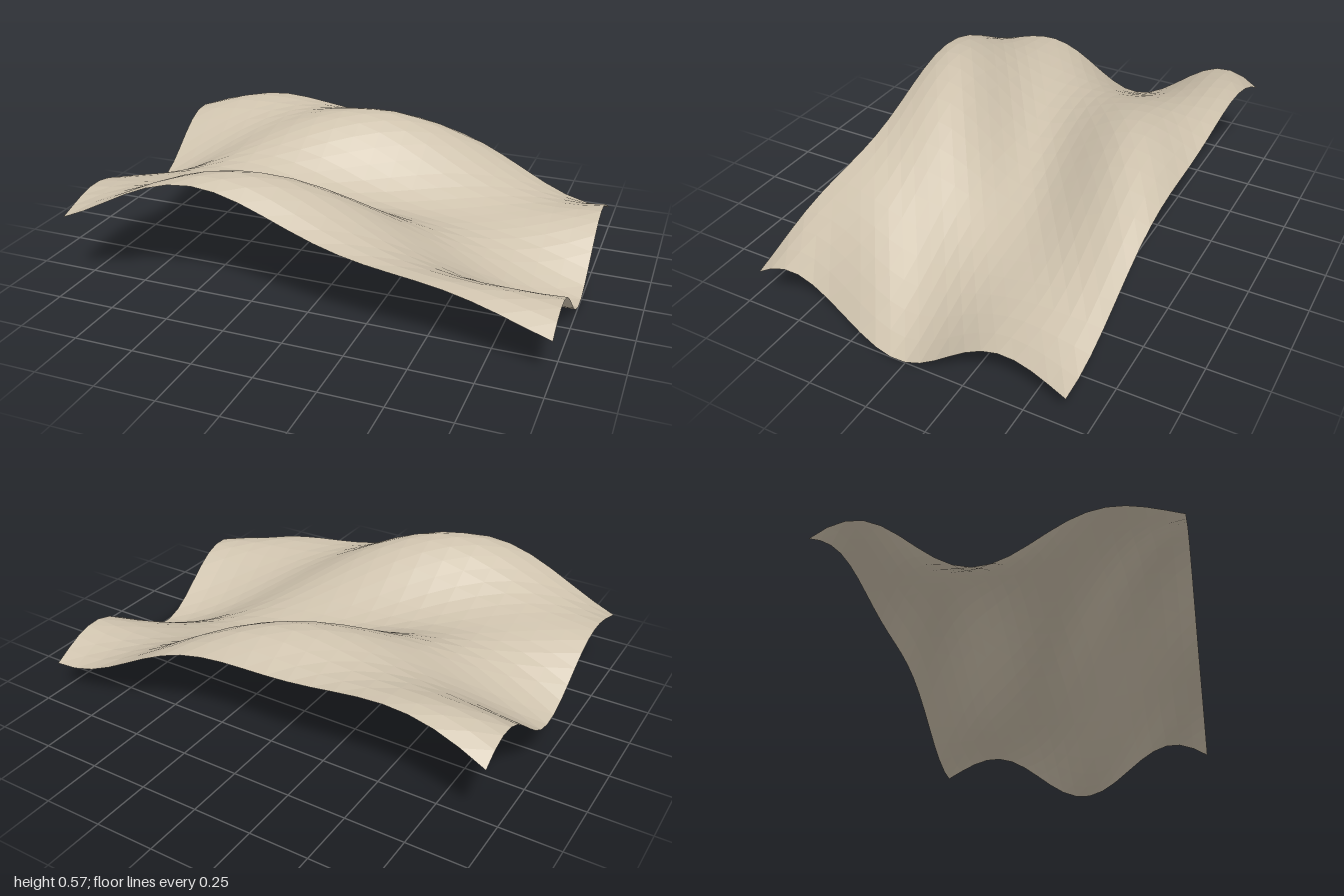
import * as THREE from 'three';

// Height of the sheet: a long swell along x, ripples along z, a small diagonal wave
function height(x, z) {
  const swell = 0.165 * Math.cos(2.2 * (x + 0.34));
  const ripple = -0.085 * Math.cos(6 * (z - 0.015));
  const diagonal = 0.042 * Math.cos(5.5 * x + 8 * z + 3.39);
  return swell + ripple + diagonal;
}

export function createModel() {
  const group = new THREE.Group();
  group.name = 'wavySurface';

  // Flat grid laid in the xz plane, then lifted by the height rule
  const geometry = new THREE.PlaneGeometry(2, 4 / 3, 20, 20);
  geometry.rotateX(-Math.PI / 2);
  const position = geometry.attributes.position;
  for (let i = 0; i < position.count; i++) {
    position.setY(i, height(position.getX(i), position.getZ(i)));
  }

  // Rest the lowest point on the ground
  geometry.computeBoundingBox();
  geometry.translate(0, -geometry.boundingBox.min.y, 0);
  geometry.computeVertexNormals();

  const material = new THREE.MeshStandardMaterial({
    color: 0xcec2ad,
    flatShading: true,
    side: THREE.DoubleSide,
  });
  const sheet = new THREE.Mesh(geometry, material);
  sheet.name = 'rippledSheet';
  group.add(sheet);
  return group;
}
